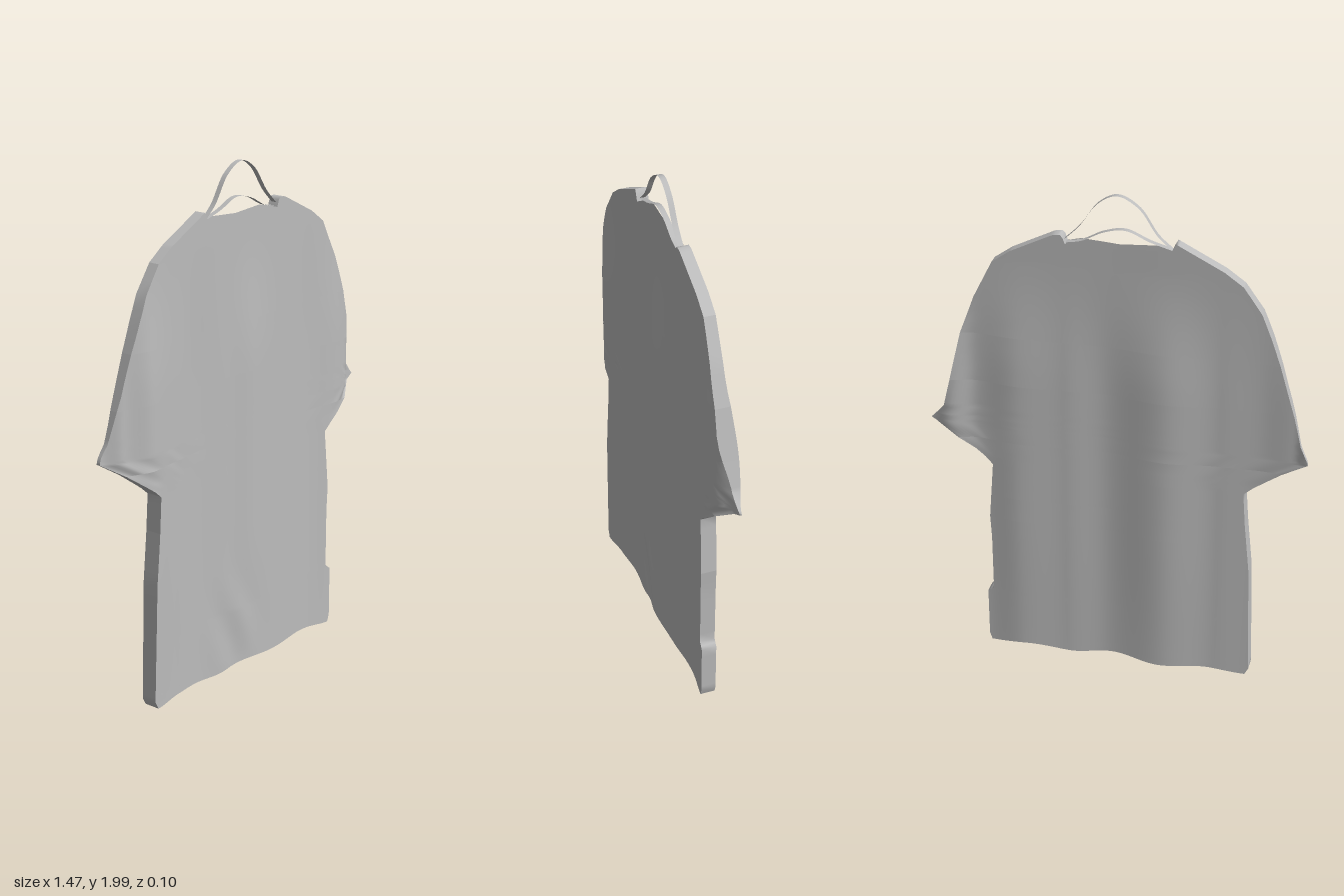
import * as THREE from 'three';

// piecewise interpolation through [key, value] pairs, optionally smoothed
function lerpTable(t, k, smooth = false) {
  if (k <= t[0][0]) return t[0][1];
  for (let i = 1; i < t.length; i++) {
    if (k <= t[i][0]) {
      let f = (k - t[i - 1][0]) / (t[i][0] - t[i - 1][0]);
      if (smooth) f = f * f * (3 - 2 * f);
      return t[i - 1][1] + (t[i][1] - t[i - 1][1]) * f;
    }
  }
  return t[t.length - 1][1];
}

// outline: x of each side by height, then top and hem height by x
const RIGHT_SIDE = [[0, -0.525], [0.03, -0.54], [0.5, -0.525], [0.7, -0.505], [0.84, -0.495], [0.87, -0.53],
  [0.95, -0.64], [1.01, -0.735], [1.03, -0.73], [1.08, -0.705], [1.2, -0.675], [1.4, -0.615], [1.5, -0.58], [1.6, -0.54], [1.7, -0.47]];
const LEFT_SIDE = [[0, 0.52], [0.03, 0.53], [0.24, 0.53], [0.26, 0.505], [0.5, 0.505], [0.6, 0.51], [0.84, 0.49],
  [0.87, 0.52], [0.95, 0.62], [1.0, 0.69], [1.02, 0.73], [1.04, 0.71], [1.08, 0.675], [1.2, 0.645], [1.4, 0.6], [1.55, 0.545], [1.7, 0.47]];
const TOP = [[-0.47, 1.7], [-0.4, 1.75], [-0.215, 1.845], [-0.204, 1.8], [-0.14, 1.81], [0, 1.8], [0.14, 1.81],
  [0.19, 1.798], [0.204, 1.835], [0.235, 1.832], [0.4, 1.75], [0.47, 1.7]];
const HEM = [[-0.53, 0.005], [-0.35, 0.018], [-0.17, 0.008], [0, 0.025], [0.18, 0.006], [0.35, 0.02], [0.53, 0.005]];

// vertical folds of the two panels
const FRONT_FOLDS = [[-0.735, -0.03], [-0.65, 0.01], [-0.53, 0.047], [-0.4, 0.032], [-0.25, 0.016], [-0.1, 0.026],
  [0.03, 0.042], [0.2, 0.026], [0.4, 0.02], [0.55, 0.036], [0.62, 0.028], [0.68, -0.015], [0.73, -0.022]];
const BACK_FOLDS = [[-0.735, -0.045], [-0.68, -0.03], [-0.55, -0.022], [-0.4, -0.028], [-0.19, -0.054], [0.05, -0.022],
  [0.2, -0.034], [0.38, -0.045], [0.55, -0.025], [0.65, -0.05], [0.73, -0.03]];
// folds flatten towards the shoulders
const FOLD_DEPTH = [[0, 0.85], [0.6, 1], [1.2, 1], [1.72, 0.05]];

const COLS = 94;

// rows of [x, y] covering the shirt from hem to neck
function outlineRows() {
  const ys = new Set([...RIGHT_SIDE, ...LEFT_SIDE].map(p => p[0]));
  for (let i = 1; i < 34; i++) ys.add(i * 0.05);
  const rows = [...ys].sort((a, b) => a - b).map(y => {
    const a = lerpTable(RIGHT_SIDE, y), b = lerpTable(LEFT_SIDE, y), row = [];
    for (let i = 0; i <= COLS; i++) {
      const x = a + (b - a) * i / COLS;
      row.push([x, y + lerpTable(HEM, x, true) * Math.max(0, 1 - y / 0.3)]);
    }
    return row;
  });
  for (let s = 1; s <= 5; s++) {
    const row = [];
    for (let i = 0; i <= COLS; i++) {
      const x = -0.47 + 0.94 * i / COLS;
      row.push([x, 1.7 + (lerpTable(TOP, x) - 1.7) * s / 5]);
    }
    rows.push(row);
  }
  return rows;
}

function panelPoint([x, y], front) {
  const fold = lerpTable(front ? FRONT_FOLDS : BACK_FOLDS, x, true);
  const k = lerpTable(FOLD_DEPTH, y, true);
  let z = fold * k + (front ? 0.022 : -0.022) * (1 - k);
  // small puckers beside the front hem
  if (front) z += 0.006 * Math.sin(x * 30 + y * 12) * Math.exp(-(((x + 0.07) / 0.12) ** 2) - (((y - 0.2) / 0.15) ** 2));
  return [x, y, z];
}

// surface through rows of points; flip reverses the facing
function sheet(rows, flip = false) {
  const pos = rows.flat(2), idx = [], n = rows[0].length;
  for (let r = 0; r < rows.length - 1; r++) {
    for (let c = 0; c < n - 1; c++) {
      const a = r * n + c, b = a + 1, d = a + n, e = d + 1;
      if (flip) idx.push(a, d, b, b, d, e);
      else idx.push(a, b, d, b, e, d);
    }
  }
  const g = new THREE.BufferGeometry();
  g.setAttribute('position', new THREE.Float32BufferAttribute(pos, 3));
  g.setIndex(idx);
  g.computeVertexNormals();
  return g;
}

export function createModel() {
  const cloth = new THREE.MeshStandardMaterial({ color: 0xbcbcbc, side: THREE.DoubleSide });
  cloth.name = 'grey cloth';
  const group = new THREE.Group();
  group.name = 'shirt';
  const add = (name, geometry) => {
    const mesh = new THREE.Mesh(geometry, cloth);
    mesh.name = name;
    group.add(mesh);
  };

  // front and back panels
  const rows = outlineRows();
  add('frontPanel', sheet(rows.map(r => r.map(p => panelPoint(p, true)))));
  add('backPanel', sheet(rows.map(r => r.map(p => panelPoint(p, false))), true));

  // narrow edges joining the panels, with the neck left open
  const edge = (name, points, flip) => add(name, sheet([
    points.map(p => panelPoint(p, true)), points.map(p => panelPoint(p, false))], flip));
  const top = rows[rows.length - 1];
  edge('hem', rows[0], true);
  edge('rightSideEdge', rows.map(r => r[0]), false);
  edge('leftSideEdge', rows.map(r => r[COLS]), true);
  edge('rightShoulder', top.filter(p => p[0] < -0.195), false);
  edge('leftShoulder', top.filter(p => p[0] > 0.185), false);

  // two thin bands arching over the neck
  const band = (name, pts) => {
    const curve = new THREE.CatmullRomCurve3(pts.map(([x, y]) => new THREE.Vector3(x, y, 0)));
    const line = curve.getPoints(40);
    add(name, sheet([0.011, -0.011].map(z => line.map(p => [p.x, p.y, z]))));
  };
  band('outerNeckBand', [[-0.205, 1.81], [-0.15, 1.86], [-0.08, 1.96], [0, 2], [0.07, 1.965], [0.14, 1.87], [0.2, 1.81]]);
  band('innerNeckBand', [[-0.205, 1.81], [-0.12, 1.835], [-0.03, 1.87], [0.05, 1.855], [0.13, 1.815], [0.2, 1.8]]);
  return group;
}
